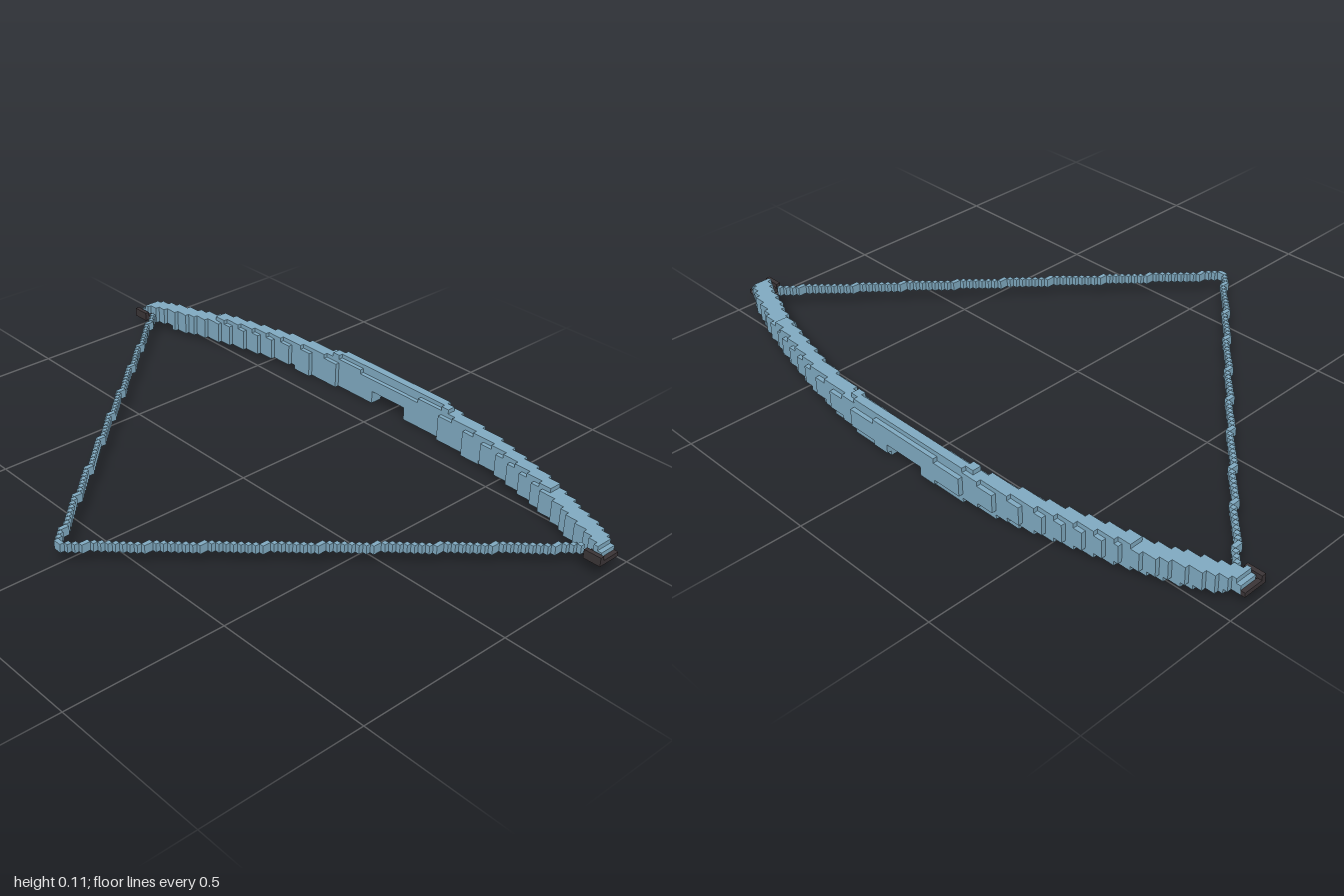
import * as THREE from 'three';
import { mergeGeometries } from 'three/addons/utils/BufferGeometryUtils.js';

const V = 2 / 144;        // voxel size
const X0 = -0.66;         // left edge of the voxel grid
const HALF = 72;          // voxels from the middle to one tip

// block covering voxel ranges [x0,x1) [y0,y1) [z0,z1), z counted from the middle
function block(x0, x1, y0, y1, z0, z1) {
  const g = new THREE.BoxGeometry((x1 - x0) * V, (y1 - y0) * V, (z1 - z0) * V);
  g.translate(X0 + (x0 + x1) / 2 * V, (y0 + y1) / 2 * V, (z0 + z1) / 2 * V);
  return g;
}

// the same block on both halves
function pair(x0, x1, y0, y1, z0, z1) {
  return [block(x0, x1, y0, y1, z0, z1), block(x0, x1, y0, y1, -z1, -z0)];
}

export function createModel() {
  const group = new THREE.Group();
  const blue = new THREE.MeshStandardMaterial({ name: 'steel blue', color: 0x7fa9c0, flatShading: true });
  const dark = new THREE.MeshStandardMaterial({ name: 'dark brown', color: 0x3a3436, flatShading: true });
  const add = (name, parts, material) => {
    const mesh = new THREE.Mesh(mergeGeometries(parts), material);
    mesh.name = name;
    group.add(mesh);
  };

  // curved limbs, layer by layer: z start, z end, front inset, back inset (voxels)
  const layers = [
    [5, 29, 1, 0],
    [5, 63, 0.5, 0],
    [5, 68, 0, 0],
    [0, 71, 0, 0],
    [0, 71, 0, 0],
    [0, 70, 0, 0],
    [0, 52, 0.5, 0.5],
    [0, 18, 1, 1],
  ];
  const limbs = [];
  layers.forEach(([start, end, front, back], y) => {
    const span = (k) => {
      const z = (k + 0.5) * V;
      const edge = (0.663 - 0.22 * z * z - X0) / V;
      return [Math.round(edge - 4 + back), Math.min(95, Math.round(edge - front))];
    };
    let from = start;
    for (let k = start + 1; k <= end; k++) {
      const a = span(from), b = span(k);
      if (k === end || a[0] !== b[0] || a[1] !== b[1]) {
        limbs.push(...pair(a[0], a[1], y, y + 1, from, k));
        from = k;
      }
    }
  });
  add('bowLimbs', limbs, blue);

  // drawn string, stepped from the nock point to each tip
  const string = [];
  const steps = 67;
  for (let k = 0; k < steps; k++) {
    const a = Math.round(k / steps * 76);
    const b = Math.round((k + 1) / steps * 76);
    string.push(...pair(a, Math.max(b, a + 1), 3, 5, k, k + 1));
  }
  add('bowString', string, blue);

  // dark hooks that hold the string at the tips
  const hooks = [
    ...pair(74.5, 75.5, 3, 5, 68, HALF),
    ...pair(75.5, 80, 3, 4, HALF - 1, HALF),
    ...pair(75.5, 78, 3, 4, 68, 69),
  ];
  add('tipHooks', hooks, dark);

  return group;
}
